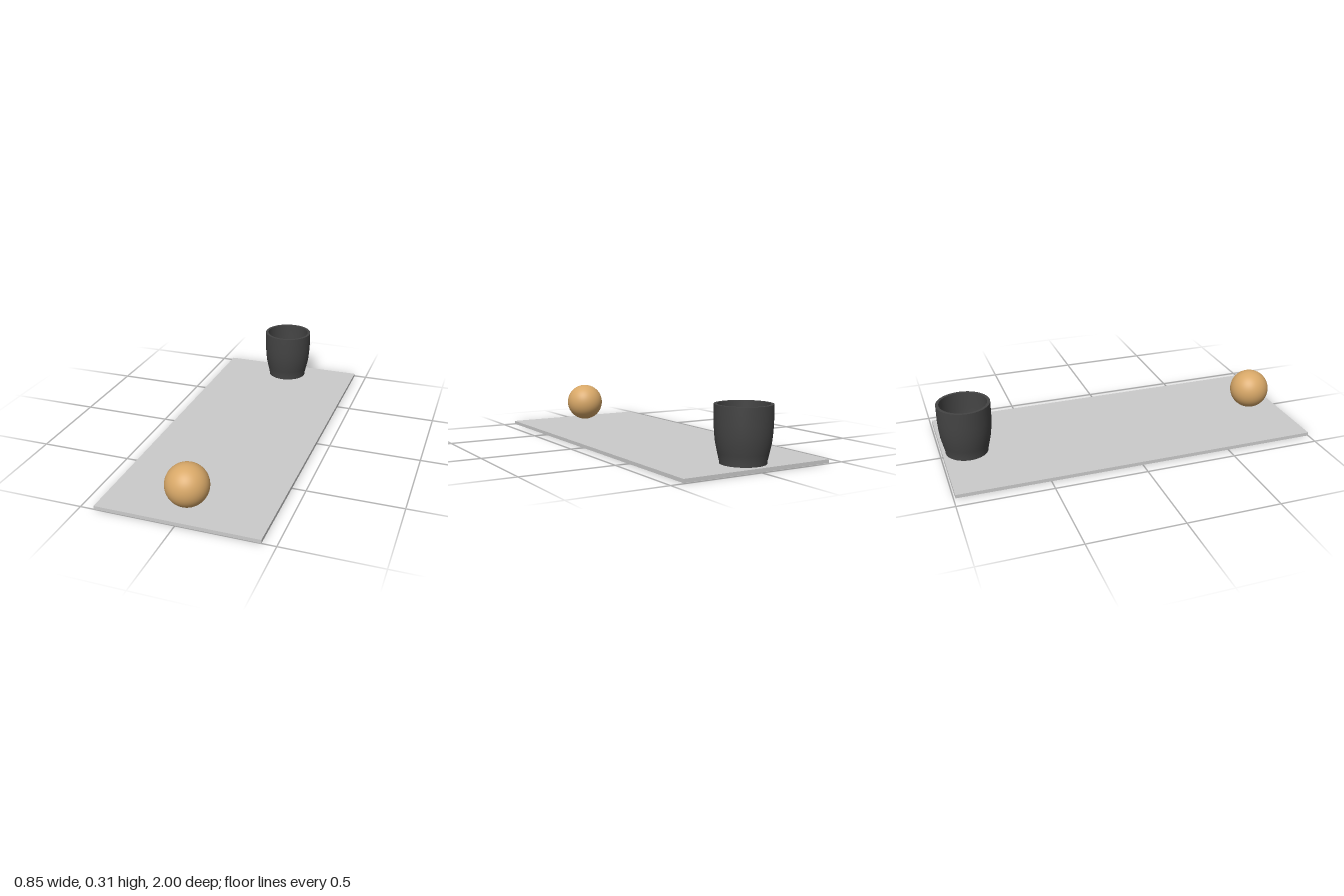
import * as THREE from 'three';
import { toCreasedNormals } from 'three/addons/utils/BufferGeometryUtils.js';

function addPart(group, name, geometry, color, x, y, z) {
  const mesh = new THREE.Mesh(geometry, new THREE.MeshStandardMaterial({ color }));
  mesh.name = name;
  mesh.position.set(x, y, z);
  group.add(mesh);
}

export function createModel() {
  const group = new THREE.Group();
  group.name = 'ballAndCupOnBoard';

  // Thin flat board
  addPart(group, 'board', new THREE.BoxGeometry(0.854, 0.019, 1.99), 0xcccccc, 0, 0.0095, 0.005);

  // Ball near the front end
  addPart(group, 'ball', new THREE.SphereGeometry(0.111, 48, 32), 0xd8a868, 0, 0.134, 0.84);

  // Hollow cup at the back end: up the outside, over the rim, down the inside
  const profile = [
    [0, 0], [0.115, 0], [0.115, 0.01], [0.125, 0.053], [0.135, 0.1], [0.14, 0.145],
    [0.143, 0.195], [0.143, 0.286],
    [0.127, 0.286], [0.127, 0.195], [0.124, 0.145], [0.119, 0.1], [0.109, 0.053],
    [0.1, 0.016], [0, 0.016],
  ].map(([r, y]) => new THREE.Vector2(r, y));
  const cup = toCreasedNormals(new THREE.LatheGeometry(profile, 64), 0.6);
  addPart(group, 'cup', cup, 0x444444, 0, 0.022, -0.857);

  return group;
}
